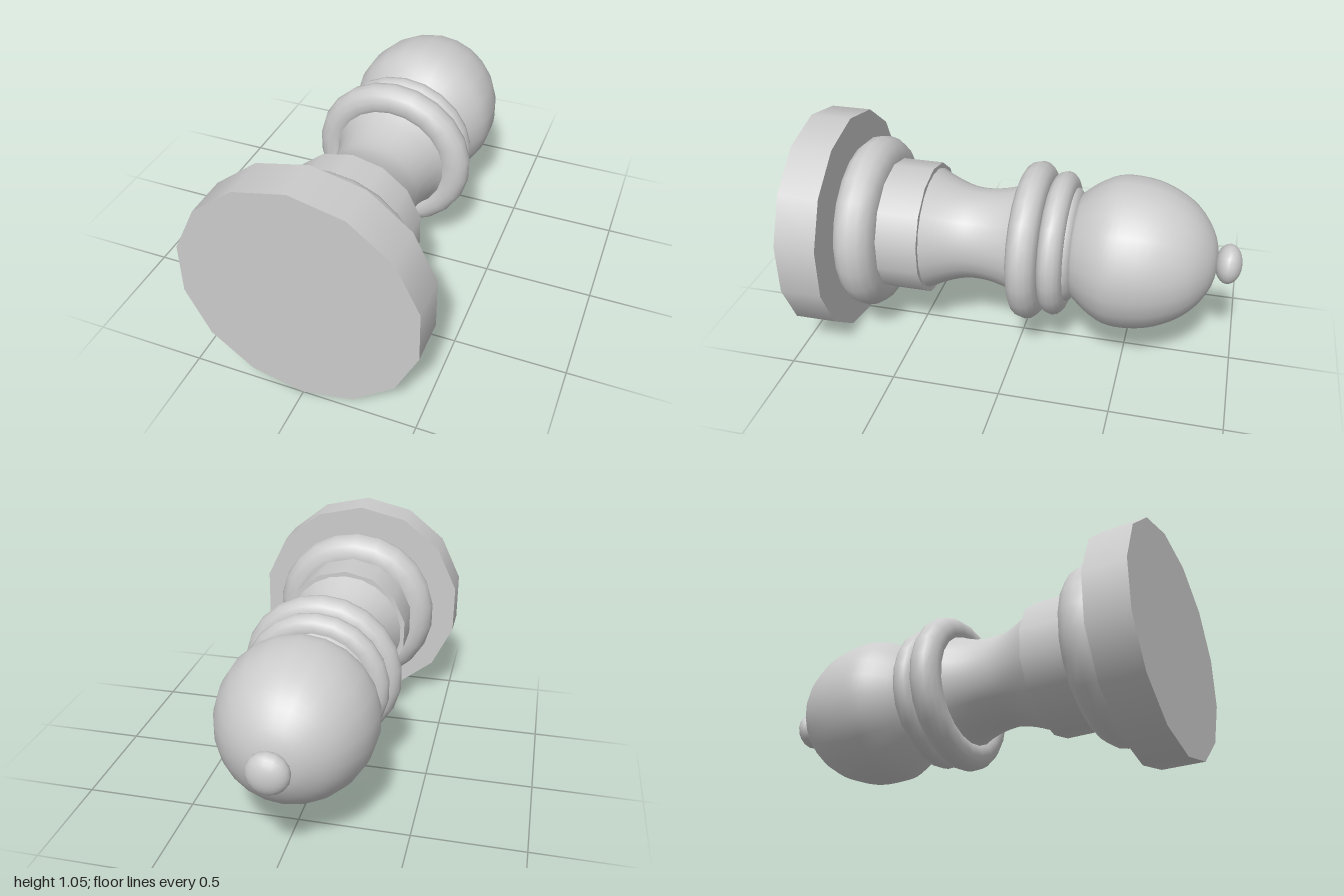
import * as THREE from 'three';

const material = new THREE.MeshStandardMaterial({ color: 0xcccccc });

export function createModel() {
  const model = new THREE.Group();
  // The piece is turned about y, then laid down with its top towards -z
  const piece = new THREE.Group();
  piece.name = 'chessPiece';
  piece.rotation.x = -Math.PI / 2;
  piece.position.y = 0.523;
  model.add(piece);

  const add = (name, geometry, y = 0) => {
    const mesh = new THREE.Mesh(geometry, material);
    mesh.name = name;
    mesh.position.set(-0.003, y, 0);
    piece.add(mesh);
    return mesh;
  };

  // Straight drum between two heights
  const drum = (name, radius, y0, y1, topRadius = radius) =>
    add(name, new THREE.CylinderGeometry(topRadius, radius, y1 - y0, 14), (y0 + y1) / 2);

  // Rounded ring with an elliptical section
  const ring = (name, outer, y0, y1, width) => {
    const points = [];
    for (let i = 0; i <= 14; i++) {
      const a = -Math.PI + (i / 14) * Math.PI * 2;
      points.push(new THREE.Vector2(
        outer - width + width * Math.cos(a),
        (y0 + y1) / 2 + ((y1 - y0) / 2) * Math.sin(a)));
    }
    return add(name, new THREE.LatheGeometry(points, 22));
  };

  // Smooth turned part through a few [radius, height] points
  const turned = (name, profile, steps) => {
    const curve = new THREE.SplineCurve(profile.map(([r, y]) => new THREE.Vector2(r, y)));
    return add(name, new THREE.LatheGeometry(curve.getPoints(steps), 22));
  };

  // Foot
  drum('base', 0.523, -1, -0.81);
  ring('baseRing', 0.41, -0.812, -0.615, 0.105);
  drum('collar', 0.31, -0.8, -0.425);

  // Waisted stem
  turned('stem', [[0.288, -0.43], [0.25, -0.35], [0.222, -0.27], [0.214, -0.2],
    [0.222, -0.12], [0.245, -0.04], [0.275, 0.02]], 16);

  // Rings below the head
  ring('lowerNeckRing', 0.37, -0.017, 0.122, 0.075);
  ring('upperNeckRing', 0.335, 0.118, 0.232, 0.065);
  drum('neckCore', 0.27, 0.02, 0.2);
  ring('headRing', 0.268, 0.175, 0.262, 0.05);

  // Egg-shaped head
  turned('head', [[0.005, 0.235], [0.2, 0.24], [0.27, 0.29], [0.33, 0.38], [0.35, 0.47],
    [0.337, 0.6], [0.288, 0.72], [0.215, 0.81], [0.11, 0.875], [0.002, 0.895]], 27);

  // Finial
  add('finial', new THREE.SphereGeometry(0.092, 16, 12), 0.94).scale.y = 0.65;

  return model;
}
